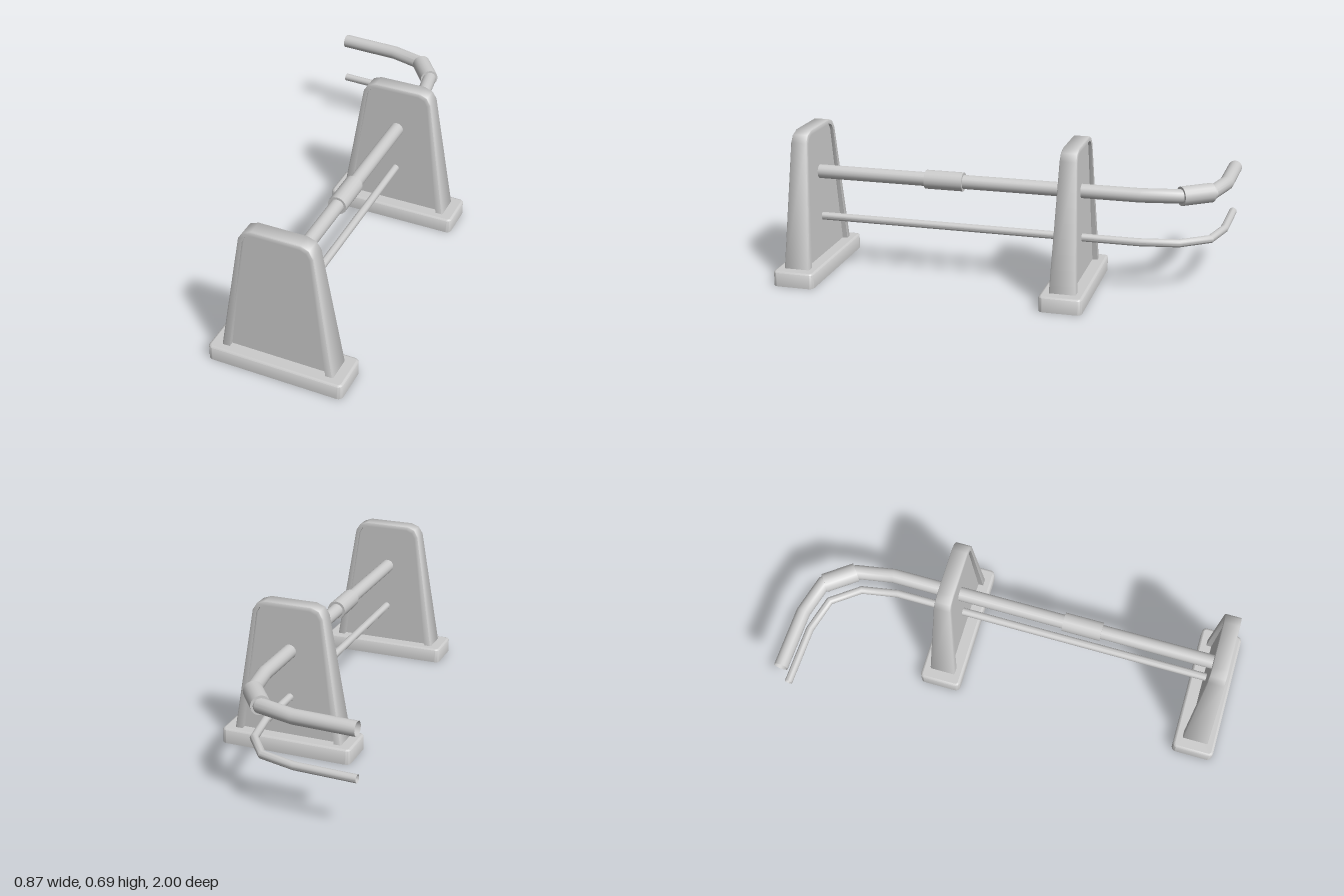
import * as THREE from 'three';
import { toCreasedNormals } from 'three/addons/utils/BufferGeometryUtils.js';

// Every part is an open shell
const material = new THREE.MeshStandardMaterial({ color: 0xcccccc, side: THREE.DoubleSide });
const CENTRE_X = 0.125;

function mesh(name, geometry) {
  const m = new THREE.Mesh(geometry, material);
  m.name = name;
  return m;
}

// Skin a list of equally long rows of points
function loft(rows, crease) {
  const n = rows[0].length;
  const index = [];
  for (let i = 0; i < rows.length - 1; i++) {
    for (let j = 0; j < n - 1; j++) {
      const a = i * n + j;
      index.push(a, a + 1, a + n + 1, a, a + n + 1, a + n);
    }
  }
  const g = new THREE.BufferGeometry();
  g.setAttribute('position', new THREE.Float32BufferAttribute(rows.flat(2), 3));
  g.setIndex(index);
  return toCreasedNormals(g, crease);
}

// Left-to-right outline from half of a symmetric profile
const mirrored = (half) => [
  ...half.map(([x, y]) => [-x, y]),
  ...half.slice().reverse(),
];

// Half depth of the post, tapering upwards
const depth = (y) => 0.06 - 0.024 * (y - 0.07) / 0.62;
const PANEL = 0.6;

const outer = mirrored([[0.256, 0.07], [0.166, 0.64], [0.146, 0.672], [0.107, 0.687]]);
const inner = mirrored([[0.221, 0.07], [0.148, 0.63], [0.133, 0.655], [0.104, 0.667]]);

function makeFrame() {
  // [share of rim from inside to outside, share of half depth]
  const half = [[0, PANEL], [0, 1], [0.85, 1], [1, 0.94]];
  const section = [
    ...half.map(([t, d]) => [t, -d]),
    ...half.slice().reverse(),
  ];
  return loft(outer.map(([ox, oy], i) => {
    const [ix, iy] = inner[i];
    return section.map(([t, d]) => {
      const y = iy + (oy - iy) * t;
      return [ix + (ox - ix) * t, y, d * depth(y)];
    });
  }), 1.2);
}

function makePanel() {
  const g = new THREE.ShapeGeometry(new THREE.Shape(inner.map(([x, y]) => new THREE.Vector2(x, y))));
  const p = g.attributes.position;
  for (let i = 0; i < p.count; i++) p.setZ(i, PANEL * depth(p.getY(i)));
  g.computeVertexNormals();
  return g;
}

function roundedRect(w, h, r) {
  const s = new THREE.Shape();
  s.absarc(w - r, h - r, r, 0, Math.PI / 2);
  s.absarc(-w + r, h - r, r, Math.PI / 2, Math.PI);
  s.absarc(-w + r, -h + r, r, Math.PI, Math.PI * 1.5);
  s.absarc(w - r, -h + r, r, Math.PI * 1.5, Math.PI * 2);
  s.closePath();
  return s;
}

// Hollow foot, open underneath, with a slot into the hollow post
function makeBase() {
  const group = new THREE.Group();
  group.name = 'base';
  const rows = [[0, 0], [0, 0.064], [0.003, 0.068], [0.01, 0.07]].map(([inset, y]) =>
    roundedRect(0.309 - inset, 0.096 - inset, 0.022 - inset)
      .getPoints(5).map((p) => [p.x, y, -p.y]));
  group.add(mesh('baseWall', loft(rows, 0.7)));
  const shape = roundedRect(0.299, 0.086, 0.012);
  const w = 0.24, h = PANEL * 0.06;
  shape.holes.push(new THREE.Path([[-w, -h], [-w, h], [w, h], [w, -h]]
    .map(([x, y]) => new THREE.Vector2(x, y))));
  const top = new THREE.ShapeGeometry(shape, 5);
  top.rotateX(-Math.PI / 2).translate(0, 0.07, 0);
  group.add(mesh('baseTop', top));
  return group;
}

function makePost(name, z) {
  const post = new THREE.Group();
  post.name = name;
  post.add(makeBase(), mesh('postFrame', makeFrame()));
  post.add(mesh('frontPanel', makePanel()));
  post.add(mesh('backPanel', makePanel().rotateY(Math.PI)));
  post.position.set(CENTRE_X, 0, z);
  return post;
}

// Plan of both rails, as x and z, with mitred bends
const railPath = [
  [0.124, 0.89], [0.124, -0.62], [0.095, -0.79],
  [0.0, -0.917], [-0.16, -0.96], [-0.434, -0.97],
].map(([x, z]) => new THREE.Vector3(x, 0, z));

function makeRail(radius, y) {
  const up = new THREE.Vector3(0, 1, 0);
  const sides = 18;
  const rows = railPath.map((p, i) => {
    const before = p.clone().sub(railPath[Math.max(i - 1, 0)]).normalize();
    const after = railPath[Math.min(i + 1, railPath.length - 1)].clone().sub(p).normalize();
    const tangent = before.clone().add(after).normalize();
    const along = i ? before : after;
    const side = up.clone().cross(tangent).multiplyScalar(radius / tangent.dot(along));
    return Array.from({ length: sides + 1 }, (_, j) => {
      const a = (j % sides) / sides * Math.PI * 2;
      return [p.x + side.x * Math.cos(a), y + radius * Math.sin(a), p.z + side.z * Math.cos(a)];
    });
  });
  return loft(rows, 0.6);
}

// Collar around the upper rail between two plan points
function makeSleeve(name, [x0, z0], [x1, z1], y) {
  const a = new THREE.Vector3(x0, y, z0);
  const b = new THREE.Vector3(x1, y, z1);
  const sleeve = mesh(name, new THREE.CylinderGeometry(0.043, 0.043, a.distanceTo(b), 18));
  sleeve.position.copy(a).lerp(b, 0.5);
  sleeve.quaternion.setFromUnitVectors(new THREE.Vector3(0, 1, 0), b.sub(a).normalize());
  return sleeve;
}

export function createModel() {
  const model = new THREE.Group();
  model.name = 'barrierRail';
  model.add(makePost('frontPost', 0.904), makePost('rearPost', -0.331));
  model.add(mesh('upperRail', makeRail(0.032, 0.465)));
  model.add(mesh('lowerRail', makeRail(0.018, 0.249)));
  model.add(makeSleeve('straightSleeve', [0.124, 0.362], [0.124, 0.185], 0.465));
  model.add(makeSleeve('bendSleeve', [0.093, -0.792], [0.002, -0.914], 0.465));
  return model;
}
